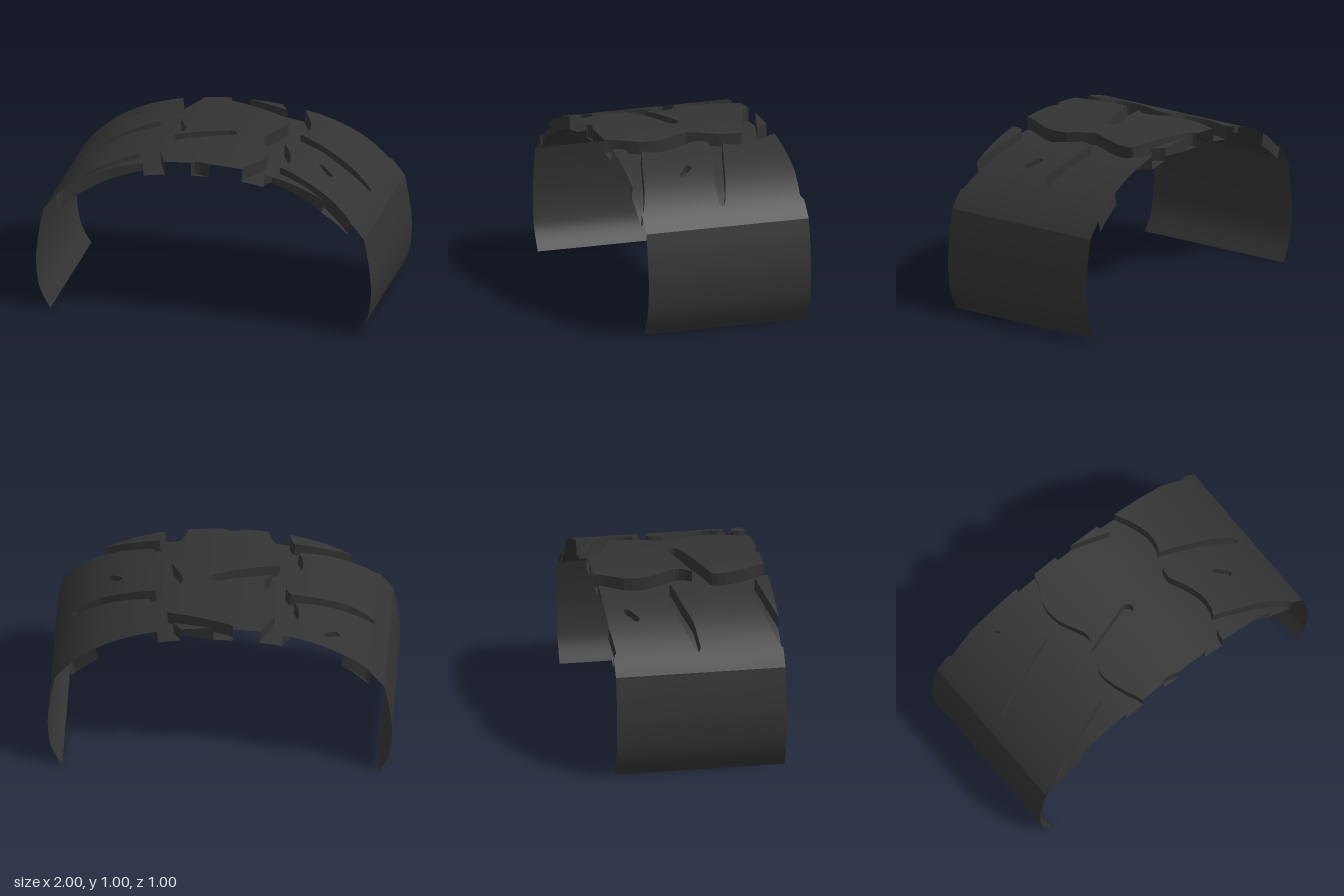
import * as THREE from 'three';

const rubber = new THREE.MeshStandardMaterial({ color: 0x333333, side: THREE.DoubleSide });
rubber.name = 'black rubber';

const EDGE = 0.958, HALF = 0.5, STEP = 0.04, GROOVE = 0.08, SIPE = 0.05;

// Crown curve across the tread, and a point on it sunk by a given depth
const crown = x => 1 - 0.225 * x ** 2 - 0.165 * x ** 4 - 0.06 * x ** 10;
const place = (x, z, depth) => [x * (1 - 0.25 * depth), crown(x) - depth * (1 - 0.1 * Math.abs(x)), z];

// One pitch of the shoulder edge, including its tapering side groove: [x, z]
const shoulderPitch = [
  [0.365, 0], [0.38, 0.035], [0.405, 0.08], [0.43, 0.14], [0.447, 0.2], [0.449, 0.25], [0.44, 0.3],
  [0.42, 0.34], [0.62, 0.4], [0.75, 0.437], [0.85, 0.475], [0.873, 0.488], [0.88, 0.502],
  [0.86, 0.518], [0.72, 0.5], [0.58, 0.455], [0.395, 0.417], [0.38, 0.43], [0.368, 0.46]];

// One pitch of the centre rib edge, including its slanted slot
const ribPitch = [
  [0.235, -0.5], [0.252, -0.45], [0.28, -0.39], [0.305, -0.34], [0.315, -0.29], [0.313, -0.24],
  [0.305, -0.19], [0.28, -0.13], [0.25, -0.07], [0.234, -0.03], [0.232, 0], [0.245, 0.03], [0.275, 0.07],
  [0.235, 0.06], [-0.03, -0.02], [-0.055, -0.02], [-0.073, -0.008], [-0.08, 0.01], [-0.075, 0.03],
  [-0.055, 0.045], [0.312, 0.18], [0.318, 0.21], [0.315, 0.26], [0.302, 0.32], [0.278, 0.39], [0.252, 0.45]];

// Repeat a pitch along z
const chain = (pitch, start, length, count) => {
  const out = [];
  for (let k = 0; k < count; k++) for (const [x, z] of pitch) out.push([x, z + start + k * length]);
  return out;
};

// Capsule outline of the small sipe
function sipeOutline(offset) {
  const a = [0.615, -0.378], b = [0.672, -0.328], r = 0.018;
  const angle = Math.atan2(b[1] - a[1], b[0] - a[0]);
  const out = [];
  [[b, angle - Math.PI / 2], [a, angle + Math.PI / 2]].forEach(([c, from]) => {
    for (let i = 0; i <= 6; i++) {
      const t = from + Math.PI * i / 6;
      out.push([c[0] + r * Math.cos(t), c[1] + r * Math.sin(t) + offset]);
    }
  });
  return out;
}

// Keep the part of a convex polygon where sign * (p[axis] - value) >= 0
function clip(poly, axis, value, sign) {
  const out = [];
  poly.forEach((p, i) => {
    const q = poly[(i + 1) % poly.length];
    const dp = sign * (p[axis] - value), dq = sign * (q[axis] - value);
    if (dp >= 0) out.push(p);
    if (dp * dq < 0) {
      const t = dp / (dp - dq);
      out.push([p[0] + (q[0] - p[0]) * t, p[1] + (q[1] - p[1]) * t]);
    }
  });
  return out;
}

function makeMesh(name, positions, normals) {
  const g = new THREE.BufferGeometry();
  g.setAttribute('position', new THREE.Float32BufferAttribute(positions, 3));
  if (normals) g.setAttribute('normal', new THREE.Float32BufferAttribute(normals, 3));
  else g.computeVertexNormals();
  const mesh = new THREE.Mesh(g, rubber);
  mesh.name = name;
  return mesh;
}

// Plan outline draped over the crown in narrow strips, with smooth normals
function sheet(name, outline, depth, holes = []) {
  const vec = list => list.map(p => new THREE.Vector2(p[0], p[1]));
  const all = [outline, ...holes].flat();
  const positions = [], normals = [];
  const put = ([x, z]) => {
    positions.push(...place(x, z, depth));
    const slope = (crown(x + 0.001) - crown(x - 0.001)) / 0.002, l = Math.hypot(slope, 1);
    normals.push(-slope / l, 1 / l, 0);
  };
  for (const face of THREE.ShapeUtils.triangulateShape(vec(outline), holes.map(vec))) {
    let tri = face.map(i => all[i]);
    const [a, b, c] = tri;
    const area = (b[0] - a[0]) * (c[1] - a[1]) - (b[1] - a[1]) * (c[0] - a[0]);
    if (area > 0) tri = [a, c, b];
    tri = clip(clip(tri, 1, -HALF, 1), 1, HALF, -1);
    if (tri.length < 3) continue;
    const xs = tri.map(p => p[0]);
    const last = Math.ceil(Math.max(...xs) / STEP);
    for (let i = Math.floor(Math.min(...xs) / STEP); i < last; i++) {
      const part = clip(clip(tri, 0, i * STEP, 1), 0, (i + 1) * STEP, -1);
      for (let j = 1; j + 1 < part.length; j++) [part[0], part[j], part[j + 1]].forEach(put);
    }
  }
  return makeMesh(name, positions, normals);
}

// Wall dropped from the crown along a plan line
function wall(name, line, depth) {
  const positions = [];
  for (let i = 0; i + 1 < line.length; i++) {
    const seg = clip(clip([line[i], line[i + 1]], 1, -HALF, 1), 1, HALF, -1);
    if (seg.length < 2) continue;
    const [p, q] = [seg[0], seg[1]];
    const n = Math.ceil(Math.abs(q[0] - p[0]) / STEP) || 1;
    const at = t => [p[0] + (q[0] - p[0]) * t, p[1] + (q[1] - p[1]) * t];
    for (let j = 0; j < n; j++) {
      const a = at(j / n), b = at((j + 1) / n);
      const a0 = place(...a, 0), b0 = place(...b, 0), a1 = place(...a, depth), b1 = place(...b, depth);
      positions.push(...a0, ...a1, ...b0, ...b0, ...a1, ...b1);
    }
  }
  return makeMesh(name, positions);
}

// Thin bulging sidewall
function sidewall(side) {
  const curve = new THREE.SplineCurve([[EDGE, crown(EDGE)], [0.985, 0.47], [1, 0.3], [0.98, 0.13], [0.915, 0]]
    .map(p => new THREE.Vector2(...p)));
  const g = new THREE.PlaneGeometry(1, 1, 1, 24);
  const pos = g.attributes.position;
  for (let i = 0; i < pos.count; i++) {
    const p = curve.getPoint(0.5 - pos.getY(i));
    pos.setXYZ(i, side * p.x, p.y, -side * pos.getX(i));
  }
  g.computeVertexNormals();
  const mesh = new THREE.Mesh(g, rubber);
  mesh.name = 'sidewall';
  return mesh;
}

export function createModel() {
  const model = new THREE.Group();
  model.name = 'tyreTreadSection';
  const ribs = [];

  // The two halves mirror each other, staggered by half a pitch
  for (const [side, offset, label] of [[-1, 0, 'right'], [1, 0.5, 'left']]) {
    const half = new THREE.Group();
    half.name = label + 'Half';
    const start = offset - 2.5;
    const flip = list => list.map(([x, z]) => [side * x, z]);
    const shoulder = flip(chain(shoulderPitch, start, 0.5, 8));
    const rib = flip(chain(ribPitch, offset - 2, 1, 4));
    const sipe = flip(sipeOutline(offset));
    const outer = flip([[EDGE, start + 4.1], [EDGE, start - 0.1]]);
    ribs.push(rib);

    half.add(
      sheet('shoulderTread', [...shoulder, ...outer], 0, [sipe]),
      sheet('grooveFloor', [...shoulder, ...[...rib].reverse()], GROOVE),
      wall('shoulderGrooveWall', shoulder, GROOVE),
      wall('ribGrooveWall', rib, GROOVE),
      sheet('sipeFloor', sipe, SIPE),
      wall('sipeWall', [...sipe, sipe[0]], SIPE),
      sidewall(side));
    model.add(half);
  }

  // Centre rib between the two wavy grooves
  model.add(sheet('centreRib', [...ribs[0], ...[...ribs[1]].reverse()], 0));
  return model;
}
